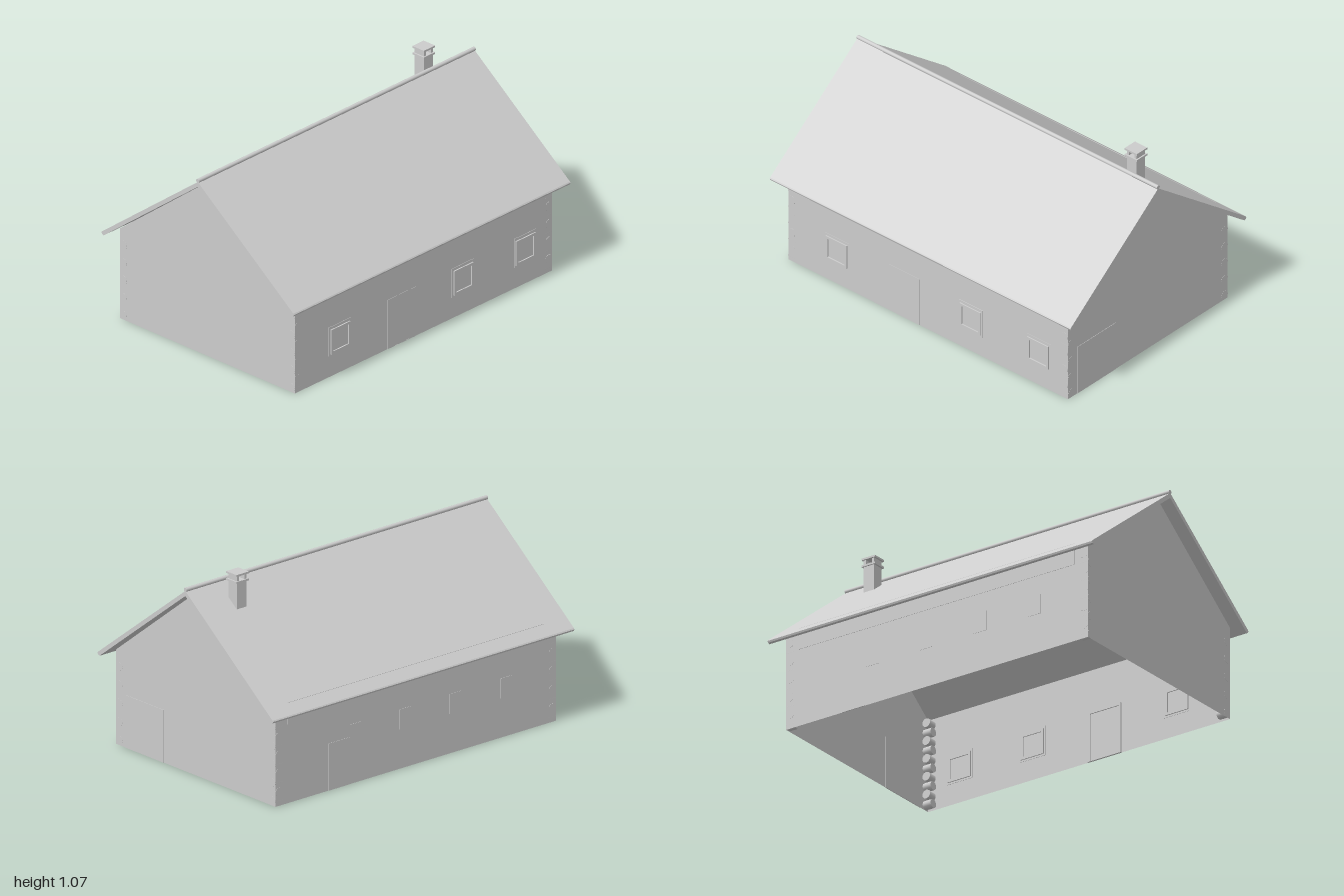
import * as THREE from 'three';

const HALF_X = 0.93, HALF_Z = 0.6, EAVE = 0.502, PEAK = 0.97;

export function createModel() {
  const house = new THREE.Group();
  house.name = 'house';
  const grey = new THREE.MeshStandardMaterial({ color: 0xcccccc, side: THREE.DoubleSide });
  grey.name = 'plain grey';

  const add = (name, geometry, x = 0, y = 0, z = 0, parent = house) => {
    const mesh = new THREE.Mesh(geometry, grey);
    mesh.name = name;
    mesh.position.set(x, y, z);
    parent.add(mesh);
    return mesh;
  };
  // Box given by its limits on each axis
  const block = (name, x0, x1, y0, y1, z0, z1) => add(name,
    new THREE.BoxGeometry(x1 - x0, y1 - y0, z1 - z0),
    (x0 + x1) / 2, (y0 + y1) / 2, (z0 + z1) / 2);
  const outline = (points) => new THREE.Shape(points.map(([x, y]) => new THREE.Vector2(x, y)));

  // Thin outer walls, open underneath
  for (const side of [1, -1]) {
    const long = add(side > 0 ? 'frontWall' : 'backWall',
      new THREE.PlaneGeometry(HALF_X * 2, EAVE), 0, EAVE / 2, side * HALF_Z);
    if (side < 0) long.rotation.y = Math.PI;
    const gable = add(side > 0 ? 'leftGable' : 'rightGable', new THREE.ShapeGeometry(outline([
      [-HALF_Z, 0], [HALF_Z, 0], [HALF_Z, EAVE], [0, PEAK], [-HALF_Z, EAVE]])), side * HALF_X);
    gable.rotation.y = side * Math.PI / 2;
  }

  // Roof slabs with slightly rounded eaves
  for (const side of [1, -1]) {
    const profile = outline([[0, 0.997], [0, PEAK], [0.646, 0.472], [0.657, 0.476],
      [0.661, 0.485], [0.657, 0.491]].map(([z, y]) => [z * side, y]));
    const slab = new THREE.ExtrudeGeometry(profile, { depth: 2, bevelEnabled: false });
    slab.translate(0, 0, -1).rotateY(-Math.PI / 2);
    add(side > 0 ? 'frontRoof' : 'backRoof', slab);
  }

  // Ridge roll
  const ridge = new THREE.CylinderGeometry(0.011, 0.011, 2, 12).rotateZ(Math.PI / 2);
  add('ridge', ridge, 0, 1.003, 0);

  // Thin rear top plate showing through the roof
  block('rearPlate', -0.85, 0.85, 0.42, 0.535, -0.602, -0.598);

  // Chimney with a two-plate cap on side walls
  block('chimneyShaft', 0.72, 0.785, 0.84, 1.025, -0.144, -0.08);
  for (const y of [1.025, 1.062]) {
    block('chimneyPlate', 0.711, 0.793, y, y + 0.01, -0.151, -0.072);
  }
  for (const x of [0.72, 0.771]) {
    block('chimneyCapWall', x, x + 0.014, 1.035, 1.062, -0.144, -0.08);
  }

  // Casing: rectangular frame around an opening, extruded along z
  const casing = (name, x0, x1, y0, y1, z, depth, border, bottom = border) => {
    const frame = outline([[x0, y0], [x1, y0], [x1, y1], [x0, y1]]);
    frame.holes.push(outline([[x0 + border, y0 + bottom], [x0 + border, y1 - border],
      [x1 - border, y1 - border], [x1 - border, y0 + bottom]]));
    add(name, new THREE.ExtrudeGeometry(frame, { depth, bevelEnabled: false }), 0, 0, z);
  };

  // Front windows
  for (const x of [-0.605, 0.285, 0.735]) {
    block('frontWindowPlate', x - 0.08, x + 0.08, 0.115, 0.277, HALF_Z - 0.002, HALF_Z + 0.002);
    casing('frontWindowFrame', x - 0.07, x + 0.07, 0.125, 0.262, HALF_Z - 0.008, 0.017, 0.014);
  }

  // Front door
  block('frontDoor', -0.25, -0.07, 0, 0.265, HALF_Z - 0.002, HALF_Z + 0.001);
  casing('frontDoorFrame', -0.262, -0.058, 0, 0.275, HALF_Z - 0.008, 0.0095, 0.014, 0.002);

  // Small back windows and back door
  for (const x of [0.4, 0.07, -0.265, -0.6]) {
    block('backWindow', x - 0.04, x + 0.04, 0.21, 0.315, -HALF_Z - 0.002, -HALF_Z + 0.002);
  }
  block('backDoor', 0.44, 0.58, 0, 0.25, -HALF_Z - 0.002, -HALF_Z + 0.002);

  // Wide door on the left gable
  block('sideDoor', HALF_X - 0.002, HALF_X + 0.002, 0, 0.28, 0.24, 0.53);

  // Crossed log ends stacked inside each corner
  const log = new THREE.CylinderGeometry(0.024, 0.024, 0.05, 10);
  for (const sx of [1, -1]) for (const sz of [1, -1]) {
    const corner = new THREE.Group();
    corner.name = 'cornerLogs';
    house.add(corner);
    for (let i = 0; i < 10; i++) {
      const y = 0.026 + i * 0.049;
      const alongX = i % 2 === 0;
      const end = add('logEnd', log, sx * (HALF_X - (alongX ? 0.024 : 0.0235)), y,
        sz * (HALF_Z - (alongX ? 0.0235 : 0.024)), corner);
      if (alongX) end.rotation.z = Math.PI / 2;
      else end.rotation.x = Math.PI / 2;
    }
  }

  return house;
}
